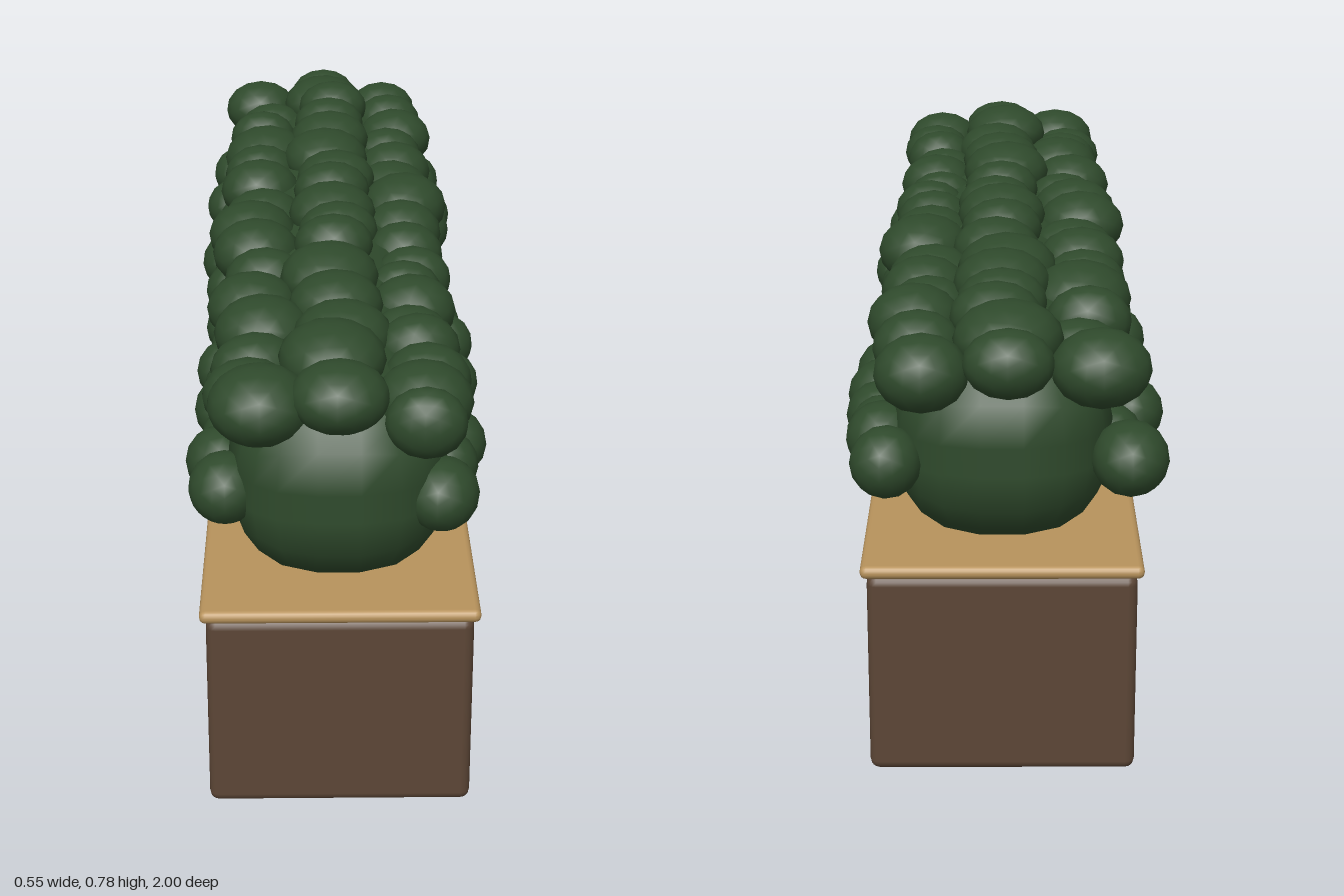
import * as THREE from 'three';
import { RoundedBoxGeometry } from 'three/addons/geometries/RoundedBoxGeometry.js';

const paint = (color) => new THREE.MeshStandardMaterial({ color });
const wood = paint(0x5c4636), trim = paint(0xb8935c), leaf = paint(0x2f4a2c);
const puff = new THREE.IcosahedronGeometry(1, 2);

// Small repeatable random numbers, from -1 to 1
let seed = 11;
function jitter() {
  seed = (seed * 16807) % 2147483647;
  return (seed / 2147483647) * 2 - 1;
}

function roundedBox(name, size, y, radius, segments, material) {
  const mesh = new THREE.Mesh(new RoundedBoxGeometry(...size, segments, radius), material);
  mesh.name = name;
  mesh.position.y = y;
  return mesh;
}

// A lengthwise row of squashed leaf clumps; each entry is [z, x, half length]
function clumpRow(name, y, height, width, clumps) {
  const row = new THREE.Group();
  row.name = name;
  for (const [z, x, r] of clumps) {
    const clump = new THREE.Mesh(puff, leaf);
    clump.name = 'leafClump';
    const h = height * (0.82 + r * 2.2);
    clump.scale.set(width * (0.6 + r * 5), h, r);
    clump.position.set(x, y + jitter() * 0.012, z);
    clump.rotation.y = jitter() * 0.25;
    row.add(clump);
  }
  return row;
}

export function createModel() {
  const model = new THREE.Group();
  model.name = 'hedgePlanter';

  // Trough and its rim
  model.add(roundedBox('planterBox', [0.44, 0.35, 1.98], 0.175, 0.016, 2, wood));
  model.add(roundedBox('planterRim', [0.46, 0.022, 2], 0.361, 0.0105, 2, trim));

  // Solid hedge body
  model.add(roundedBox('hedgeCore', [0.37, 0.35, 1.89], 0.53, 0.15, 2, leaf));

  // Crown row
  model.add(clumpRow('crownClumps', 0.71, 0.06, 0.083, [
    [-0.94, -0.01, 0.06], [-0.83, -0.01, 0.1], [-0.75, 0.01, 0.07], [-0.64, 0, 0.07],
    [-0.52, 0, 0.09], [-0.4, -0.01, 0.1], [-0.26, 0.01, 0.08], [-0.15, 0, 0.07],
    [-0.02, 0, 0.09], [0.08, 0.01, 0.07], [0.18, 0, 0.065], [0.35, -0.01, 0.1],
    [0.48, 0, 0.085], [0.61, 0.01, 0.09], [0.74, -0.01, 0.1], [0.87, 0, 0.08],
  ]));

  // Shoulder rows
  model.add(clumpRow('rightShoulderClumps', 0.665, 0.065, 0.083, [
    [-0.89, -0.16, 0.08], [-0.77, -0.13, 0.07], [-0.64, -0.15, 0.06], [-0.5, -0.14, 0.1],
    [-0.39, -0.15, 0.07], [-0.26, -0.15, 0.08], [-0.12, -0.14, 0.08], [0.02, -0.16, 0.09],
    [0.13, -0.15, 0.085], [0.25, -0.13, 0.07], [0.4, -0.15, 0.085], [0.54, -0.13, 0.09],
    [0.67, -0.14, 0.07], [0.76, -0.15, 0.07], [0.85, -0.13, 0.09],
  ]));
  model.add(clumpRow('leftShoulderClumps', 0.665, 0.065, 0.08, [
    [-0.9, 0.13, 0.075], [-0.78, 0.14, 0.07], [-0.64, 0.15, 0.085], [-0.54, 0.13, 0.07],
    [-0.42, 0.14, 0.08], [-0.31, 0.13, 0.09], [-0.16, 0.15, 0.1], [-0.03, 0.14, 0.08],
    [0.1, 0.14, 0.07], [0.22, 0.15, 0.065], [0.3, 0.13, 0.06], [0.41, 0.14, 0.08],
    [0.53, 0.13, 0.07], [0.62, 0.14, 0.065], [0.73, 0.15, 0.07], [0.83, 0.14, 0.085],
    [0.9, 0.14, 0.05],
  ]));

  // Lower side rows
  model.add(clumpRow('leftLowerClumps', 0.512, 0.062, 0.065, [
    [-0.89, 0.19, 0.065], [-0.8, 0.2, 0.07], [-0.76, 0.2, 0.06], [-0.64, 0.21, 0.07],
    [-0.56, 0.21, 0.075], [-0.45, 0.2, 0.08], [-0.32, 0.18, 0.065], [-0.23, 0.18, 0.065],
    [-0.11, 0.18, 0.055], [-0.01, 0.18, 0.06], [0.12, 0.18, 0.1], [0.22, 0.21, 0.06],
    [0.26, 0.19, 0.055], [0.36, 0.21, 0.06], [0.5, 0.17, 0.075], [0.64, 0.2, 0.07],
    [0.76, 0.18, 0.06], [0.86, 0.17, 0.075],
  ]));
  model.add(clumpRow('rightLowerClumps', 0.512, 0.062, 0.065, [
    [-0.88, -0.21, 0.08], [-0.76, -0.18, 0.065], [-0.64, -0.22, 0.07], [-0.55, -0.19, 0.06],
    [-0.46, -0.19, 0.06], [-0.36, -0.18, 0.07], [-0.25, -0.21, 0.08], [-0.16, -0.19, 0.06],
    [-0.08, -0.2, 0.065], [0.02, -0.18, 0.07], [0.1, -0.19, 0.07], [0.21, -0.18, 0.06],
    [0.32, -0.2, 0.065], [0.43, -0.18, 0.07], [0.51, -0.19, 0.08], [0.61, -0.18, 0.06],
    [0.71, -0.2, 0.07], [0.83, -0.19, 0.07],
  ]));
  return model;
}
